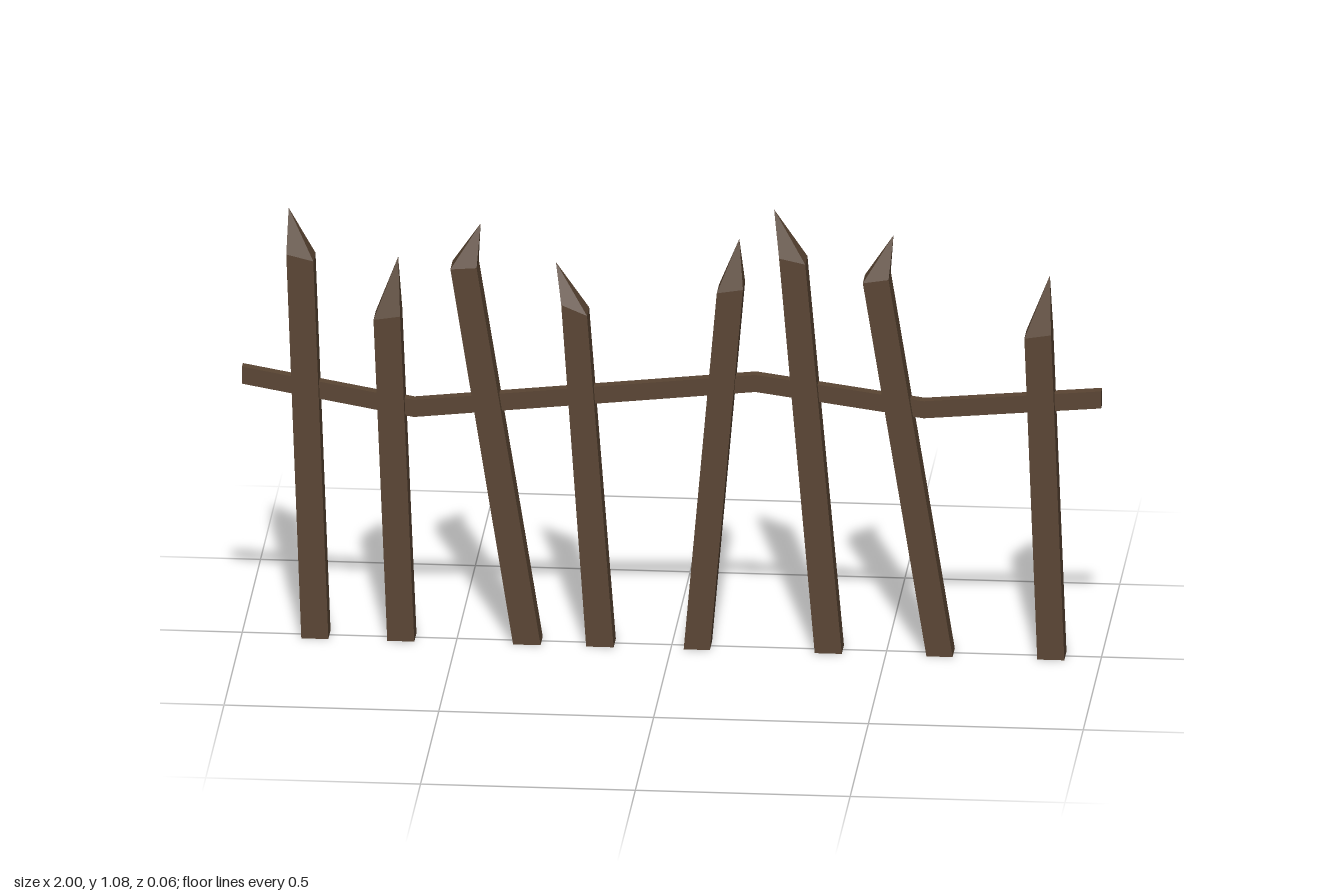
import * as THREE from 'three';

// Joins rectangular cross-sections (four corners each) into a flat-faced beam
function loft(sections, capped) {
  const pos = [];
  const quad = (a, b, c, d) => pos.push(...a, ...b, ...c, ...a, ...c, ...d);
  for (let s = 0; s < sections.length - 1; s++) {
    for (let i = 0; i < 4; i++) {
      const j = (i + 1) % 4, p = sections[s], q = sections[s + 1];
      quad(p[i], p[j], q[j], q[i]);
    }
  }
  if (capped) {
    quad(...[...sections[0]].reverse());
    quad(...sections[sections.length - 1]);
  }
  return pos;
}

function toGeometry(pos) {
  const g = new THREE.BufferGeometry();
  g.setAttribute('position', new THREE.Float32BufferAttribute(pos, 3));
  g.computeVertexNormals();
  return g;
}

const HALF = 0.03;

// Open-bottomed stake: bottom x range, left and right shoulders, off-centre tip
function picketGeometry([x0, x1, lx, ly, rx, ry, tx, ty]) {
  const ring = (ax, ay, bx, by) => [[ax, ay, HALF], [bx, by, HALF], [bx, by, -HALF], [ax, ay, -HALF]];
  const top = ring(lx, ly, rx, ry);
  const pos = loft([ring(x0, 0, x1, 0), top], false);
  for (let i = 0; i < 4; i++) pos.push(...top[i], ...top[(i + 1) % 4], tx, ty, 0);
  return toGeometry(pos);
}

export function createModel() {
  const group = new THREE.Group();
  group.name = 'fence';
  const wood = new THREE.MeshStandardMaterial({ color: 0x5a4533, side: THREE.DoubleSide });
  wood.name = 'brownWood';

  // Leaning pointed pickets
  const pickets = [
    [-0.86, -0.797, -0.895, 0.945, -0.832, 0.93, -0.892, 1.05],
    [-0.66, -0.597, -0.692, 0.79, -0.63, 0.80, -0.637, 0.937],
    [-0.367, -0.303, -0.513, 0.92, -0.452, 0.925, -0.445, 1.025],
    [-0.197, -0.133, -0.255, 0.84, -0.195, 0.815, -0.27, 0.935],
    [0.03, 0.091, 0.107, 0.88, 0.168, 0.89, 0.157, 1.005],
    [0.335, 0.398, 0.252, 0.97, 0.313, 0.957, 0.238, 1.08],
    [0.595, 0.656, 0.447, 0.915, 0.507, 0.925, 0.516, 1.025],
    [0.853, 0.916, 0.823, 0.79, 0.885, 0.80, 0.88, 0.937],
  ];
  pickets.forEach((p, i) => {
    const mesh = new THREE.Mesh(picketGeometry(p), wood);
    mesh.name = `picket${i + 1}`;
    group.add(mesh);
  });

  // Crooked cross rail running through the pickets
  const path = [[-1, 0.637], [-0.6, 0.567], [0.195, 0.653], [0.587, 0.6], [1, 0.637]];
  const h = 0.021, zf = 0.009, zb = -0.016;
  const sections = path.map(([x, y]) => [[x, y - h, zf], [x, y - h, zb], [x, y + h, zb], [x, y + h, zf]]);
  const rail = new THREE.Mesh(toGeometry(loft(sections, true)), wood);
  rail.name = 'rail';
  group.add(rail);

  return group;
}
